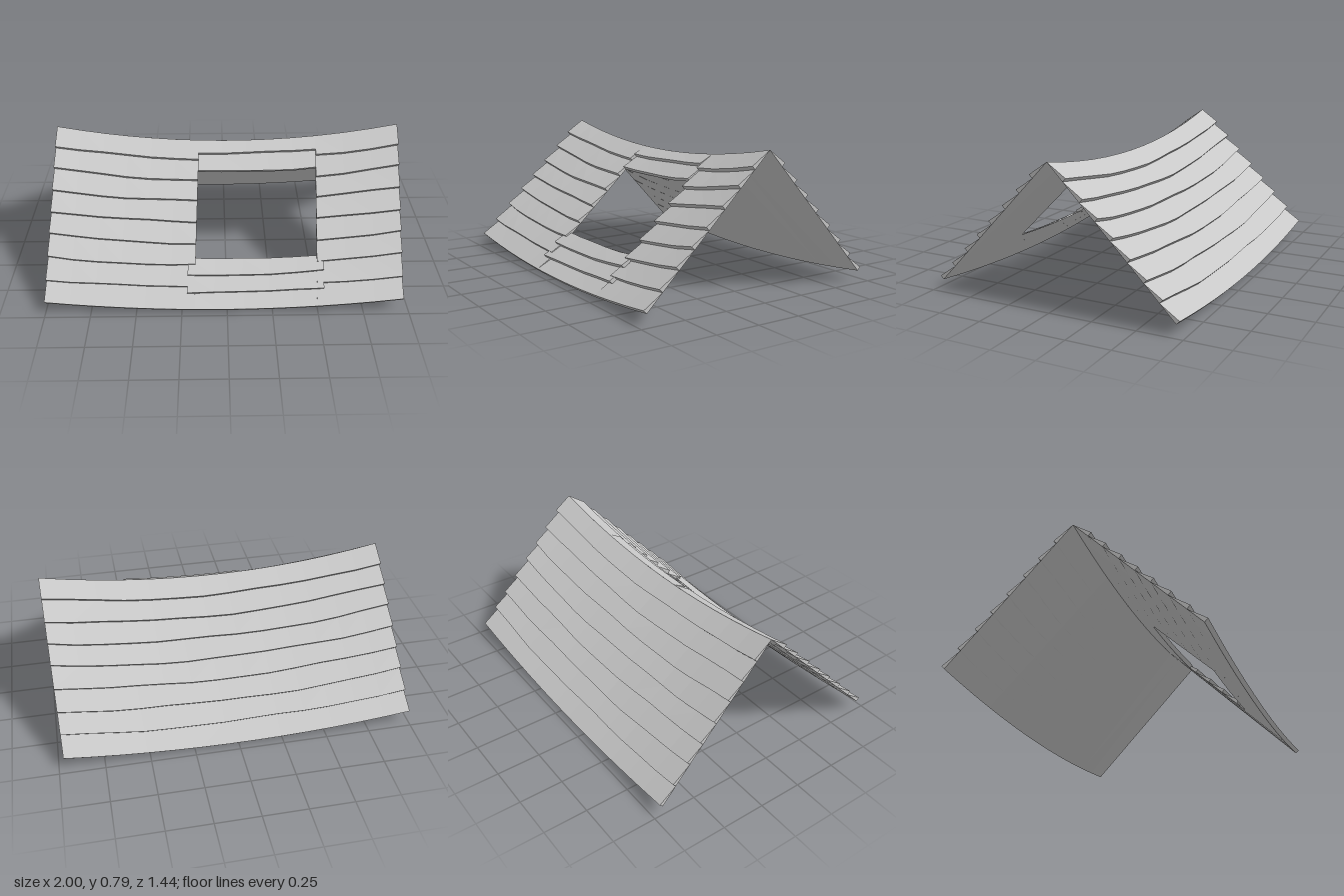
import * as THREE from 'three';

const shingleGrey = new THREE.MeshStandardMaterial({ color: 0xc8c8c8, side: THREE.DoubleSide });
shingleGrey.name = 'shingleGrey';

const HALF = 0.985, THICK = 0.026, COURSES = 8;

// Point on a sagging slope: s along the ridge, d from ridge (0) to eave (1), lift off the sheet
function roofPoint(side, s, d, lift) {
  const u = s / HALF;
  const ridgeY = 0.692 + 0.098 * u * u;
  const eaveY = 0.06 * u * u;
  const ridgeZ = -0.01, eaveZ = 0.7 * side;
  return new THREE.Vector3(
    s + 0.015 - 0.03 * d,
    ridgeY + (eaveY - ridgeY) * d + lift * 0.71,
    ridgeZ + (eaveZ - ridgeZ) * d + lift * 0.71 * side
  );
}

// Sweep a section of [d, lift] points along s, with optional end caps
function sweep(name, side, s0, s1, section, caps) {
  const steps = Math.max(2, Math.ceil((s1 - s0) / 0.16));
  const pos = [];
  const tri = (a, b, c) => {
    for (const p of side > 0 ? [a, b, c] : [a, c, b]) pos.push(p.x, p.y, p.z);
  };
  const rows = [];
  for (let i = 0; i <= steps; i++) {
    const s = s0 + (s1 - s0) * i / steps;
    rows.push(section(s).map(([d, lift]) => roofPoint(side, s, d, lift)));
  }
  for (let i = 0; i < steps; i++) {
    const a = rows[i], b = rows[i + 1];
    for (let j = 0; j < a.length - 1; j++) {
      tri(a[j], a[j + 1], b[j + 1]);
      tri(a[j], b[j + 1], b[j]);
    }
  }
  if (caps) {
    const a = rows[0], b = rows[steps];
    tri(a[0], a[2], a[1]);
    tri(b[0], b[1], b[2]);
  }
  const geo = new THREE.BufferGeometry();
  geo.setAttribute('position', new THREE.Float32BufferAttribute(pos, 3));
  geo.computeVertexNormals();
  const mesh = new THREE.Mesh(geo, shingleGrey);
  mesh.name = name;
  return mesh;
}

// Slightly uneven course line
const wave = (s, d, seed) =>
  d <= 0.001 || d >= 0.999 ? d : d + 0.004 * Math.sin(s * 5.5 + seed * 1.9) + 0.002 * Math.sin(s * 13 + seed);

// Wedge-shaped shingle course
function course(name, side, s0, s1, d0, d1, seed, lift = 0) {
  return sweep(name, side, s0, s1, s => [
    [wave(s, d0, seed - 1), lift],
    [wave(s, d1, seed), THICK + lift],
    [wave(s, d1, seed), 0]
  ], true);
}

// Flat underside sheet
function sheet(name, side, s0, s1, d0, d1) {
  return sweep(name, side, s0, s1, () => [[d0, 0], [d1, 0]], false);
}

export function createModel() {
  const roof = new THREE.Group();
  roof.name = 'saggingRoof';
  const front = new THREE.Group(), back = new THREE.Group();
  front.name = 'frontSlope';
  back.name = 'backSlope';
  roof.add(front, back);

  // Window opening limits
  const L = -0.167, R = 0.512, T = 0.197, B = 0.711;

  // Undersides
  back.add(sheet('backSheet', -1, -HALF, HALF, 0, 1));
  front.add(
    sheet('leftSheet', 1, R, HALF, 0, 1),
    sheet('rightSheet', 1, -HALF, L, 0, 1),
    sheet('sheetAboveOpening', 1, L, R, 0, T),
    sheet('sheetBelowOpening', 1, L, R, B, 1)
  );

  // Regular courses on the back and either side of the opening
  for (let k = 0; k < COURSES; k++) {
    const d0 = k / COURSES, d1 = (k + 1) / COURSES;
    back.add(course('backCourse', -1, -HALF, HALF, d0, d1, k + 20));
    front.add(course('rightCourse', 1, -HALF, L, d0, d1, k + 1));
    front.add(course('leftCourse', 1, R, HALF, d0, d1, k + 5));
  }

  // Shorter courses above the opening
  front.add(
    course('upperCourse', 1, L, R, 0, 0.088, 2),
    course('upperCourse', 1, L, R, 0.088, T, 3)
  );

  // Courses below the opening, overlapping the sides
  front.add(
    course('lowerCourse', 1, L - 0.042, R + 0.038, B, 0.806, 4, 0.007),
    course('lowerCourse', 1, L - 0.042, R + 0.038, 0.806, 0.904, 5, 0.005),
    course('lowerCourse', 1, L, R, 0.904, 1, 6)
  );
  return roof;
}
